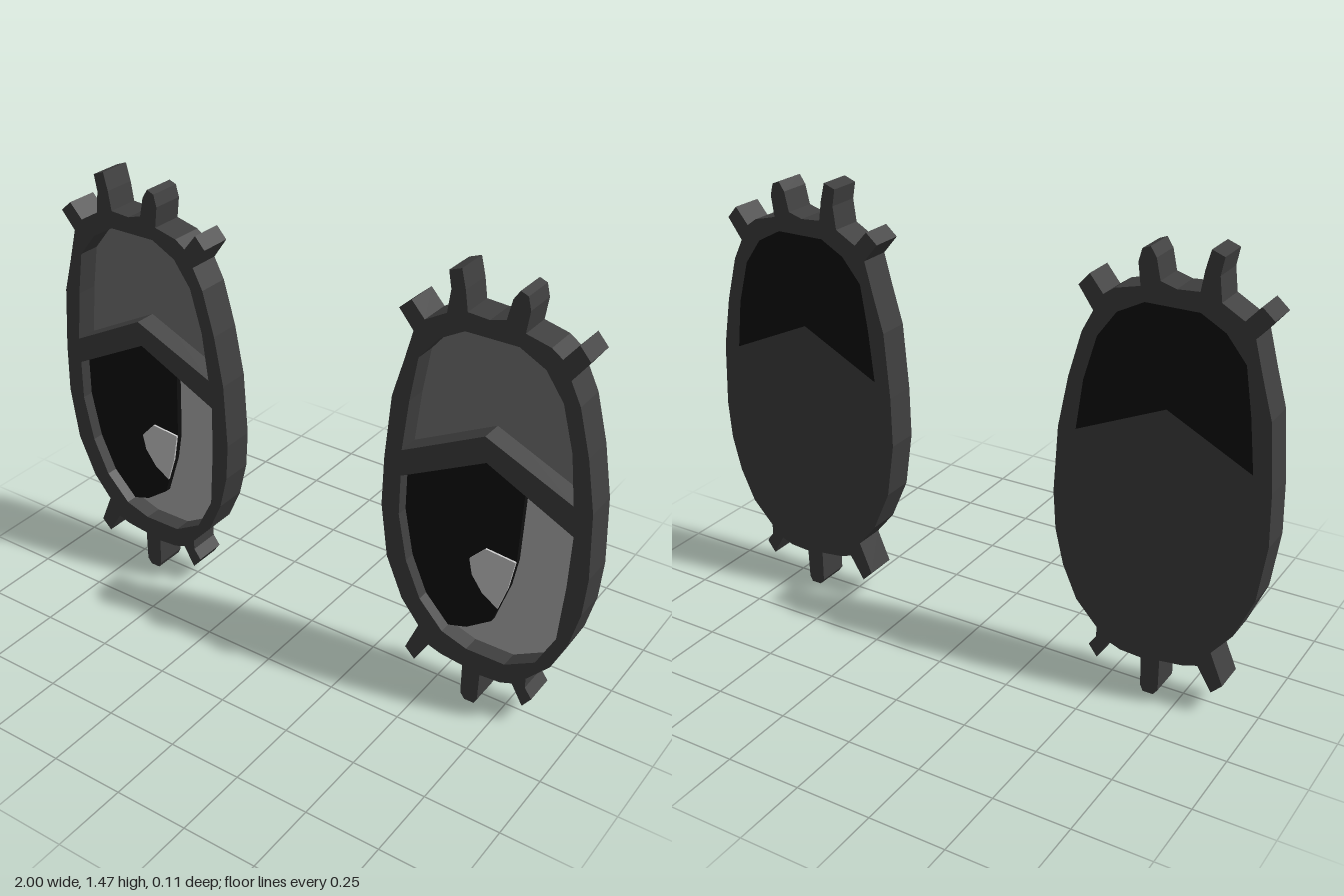
import * as THREE from 'three';

// Outlines as x, y pairs in hundredths, relative to the centre line of one eye
const OUTLINE = [
  -35, 62, -32.5, 43.5, -26.5, 29.5, -20, 21.5,
  -24.5, 11, -21, 7.5, -16, 15.5, // lower lash
  -11.5, 14, -3.5, 13,
  -3.5, 2, -2, 0, 1.5, 0, 2.5, 2, 2.8, 12, // lower middle lash
  10, 12.5, 14, 14,
  18, 7, 21, 11, 18.5, 14.5, 18.5, 18, // lower lash
  26, 26, 31, 37, 34, 49, 35, 62, 34, 84, 31, 101, 27, 116, 23.5, 123,
  28.5, 130, 25, 134, 20.5, 128.5, // upper lash
  17, 131, 9, 133,
  10, 140, 9, 144, 6.5, 145, 4.5, 142, 3, 135.5, // upper lash
  -2, 134, -9, 134.5,
  -10, 141, -11.5, 147, -15.5, 145.5, -14.5, 140, -15.5, 132.5, // tall lash
  -22.5, 128.5,
  -27, 133.5, -31, 130, -26, 124, // upper lash
  -29, 113, -32.5, 101, -34.5, 79,
];
const LID = [
  -28.5, 83.5, -26.5, 101, -24, 116, -17.5, 124, -9.5, 128.5, 7.5, 128.5,
  16, 124, 22, 115.5, 26, 101, 28, 84.5, -1, 97.5,
];
const OPENING = [
  -28.5, 74.5, 0, 89, 29, 74.5, 28.5, 57, 27, 37, 21, 25.5, 11, 20,
  -2.5, 20, -11.5, 23, -20, 32, -25.5, 44.5, -28.7, 60.5,
];
const PUPIL = [
  -28.5, 74.5, 0, 89, 11.3, 83, 10.3, 56, 8.5, 46, 5.5, 37, 3.5, 31,
  -5, 25, -11.5, 23, -20, 32, -25.5, 44.5, -28.7, 60.5,
];
const HIGHLIGHT = [0, 57, 10.3, 56, 8.5, 46, 5.5, 37, 0, 40.5, -4, 46, -5.2, 51.5];

const BACK = -0.055, FRONT = 0.055;

const toPoints = (list) => {
  const points = [];
  for (let i = 0; i < list.length; i += 2) {
    points.push(new THREE.Vector2(list[i] / 100, list[i + 1] / 100));
  }
  return points;
};

// Flat slab of an outline between two depths
function slab(name, outline, z0, z1, color, holes = []) {
  const shape = new THREE.Shape(toPoints(outline));
  shape.holes = holes.map((h) => new THREE.Path(toPoints(h)));
  const geometry = new THREE.ExtrudeGeometry(shape, { depth: z1 - z0, bevelEnabled: false });
  geometry.translate(0, 0, z0);
  const mesh = new THREE.Mesh(geometry, new THREE.MeshStandardMaterial({ color, flatShading: true }));
  mesh.name = name;
  return mesh;
}

function createEye(name, x) {
  const eye = new THREE.Group();
  eye.name = name;
  eye.add(
    slab('rimAndLashes', OUTLINE, BACK, FRONT, 0x3f3f3f, [LID, OPENING]),
    // Upper eyelid, with a black back
    slab('eyelidBack', LID, BACK, -0.04, 0x101010),
    slab('eyelid', LID, -0.04, -0.02, 0x747474),
    // Eyeball layers, from back to front
    slab('backPlate', OPENING, BACK, -0.03, 0x3f3f3f),
    slab('eyeWhite', OPENING, -0.03, -0.005, 0xb3b3b3),
    slab('pupil', PUPIL, -0.005, 0.015, 0x101010),
    slab('highlight', HIGHLIGHT, 0.015, 0.022, 0xcccccc),
  );
  eye.position.x = x;
  return eye;
}

export function createModel() {
  const model = new THREE.Group();
  model.name = 'eyes';
  model.add(createEye('rightEye', -0.65), createEye('leftEye', 0.65));
  return model;
}
